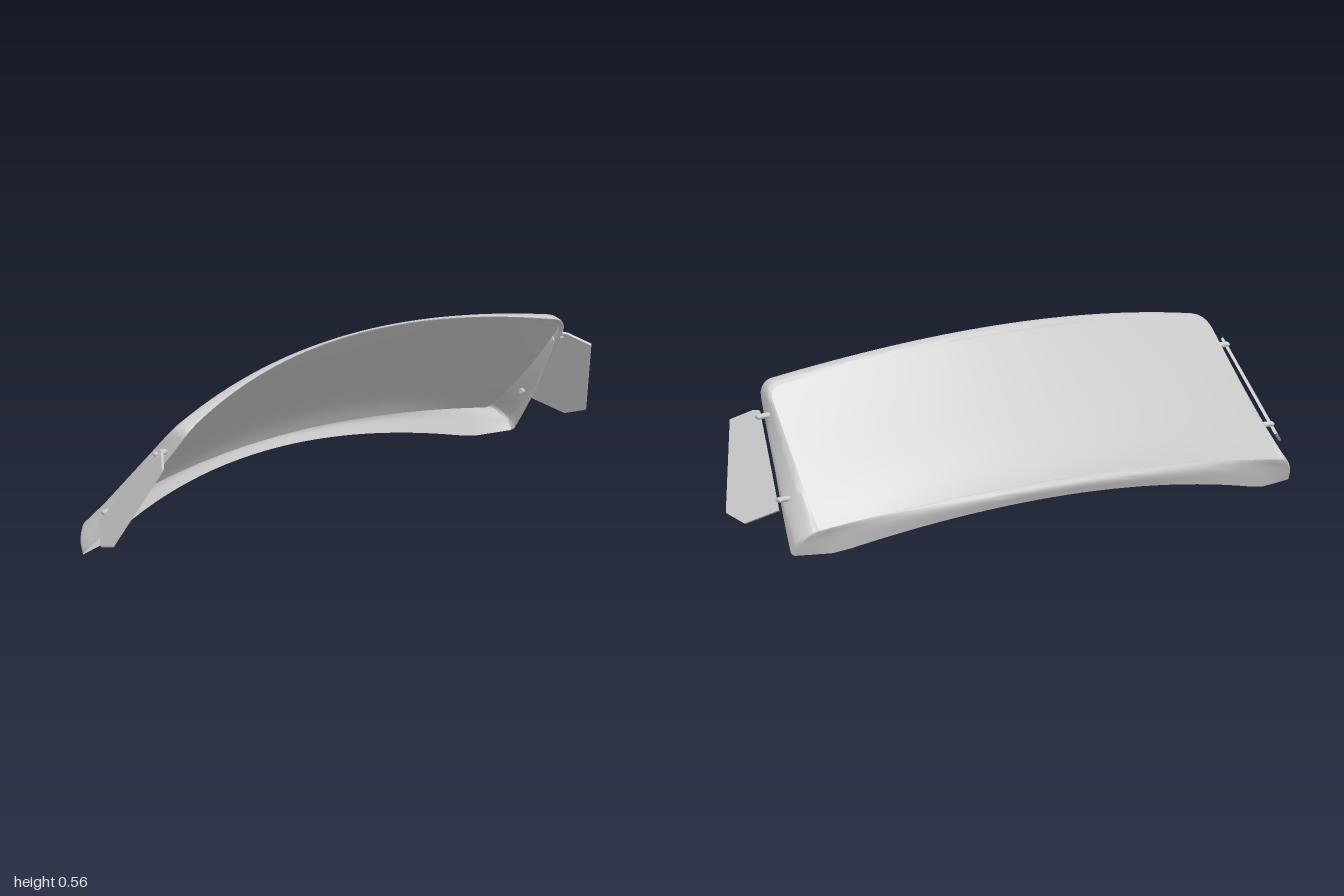
import * as THREE from 'three';
import { toCreasedNormals } from 'three/addons/utils/BufferGeometryUtils.js';

const material = new THREE.MeshStandardMaterial({ color: 0xcccccc, side: THREE.DoubleSide });

// Each ring has a bottom and a top bow: centre [x, y] and end [x, y, z].
// The sag pushes the middle of the ring's sides by [x, y].
const GLASS_EDGE = { bottom: [[-0.225, 0.148], [-0.145, 0.08, 0.84]], top: [[0.1, 0.537], [0.195, 0.452, 0.8]], sag: [0, 0] };
const INNER_EDGE = { bottom: [[-0.222, 0.144], [-0.142, 0.076, 0.84]], top: [[0.127, 0.547], [0.243, 0.45, 0.787]], sag: [0.012, -0.01] };
const FRAME_RINGS = [
  GLASS_EDGE,
  { bottom: [[-0.234, 0.152], [-0.148, 0.078, 0.855]], top: [[0.107, 0.549], [0.214, 0.463, 0.802]], sag: [0.006, -0.004] }, // crest
  { bottom: [[-0.255, 0.135], [-0.118, 0.037, 0.9]], top: [[0.135, 0.556], [0.26, 0.458, 0.793]], sag: [0.016, -0.015] },   // outer edge
  { bottom: [[-0.242, 0.1], [-0.098, 0.0, 0.908], 1.4], top: [[0.127, 0.546], [0.243, 0.449, 0.787]], sag: [0.01, -0.01] }  // return lip
];

function bow([c, e, speed = 1], u) {
  const x = c[0] + (e[0] - c[0]) * u * u;
  const y = c[1] + (e[1] - c[1]) * Math.min(1, speed * u * u);
  return new THREE.Vector3(x, y, e[2] * u);
}

function ringPoint(ring, u, v) {
  const sag = 4 * v * (1 - v) * u ** 8;
  const p = bow(ring.bottom, u).lerp(bow(ring.top, u), v);
  return p.add(new THREE.Vector3(ring.sag[0] * sag, ring.sag[1] * sag, 0));
}

// Rounded rectangle in (u, v), counter-clockwise, u from -1 to 1 and v from 0 to 1
function roundedLoop() {
  const pts = [];
  const corners = [[1, 0, 0.015, 0.025], [1, 1, 0.045, 0.08], [-1, 1, 0.045, 0.08], [-1, 0, 0.015, 0.025]];
  const edgeSteps = [16, 32, 16, 32];
  corners.forEach(([u, v, ru, rv], k) => {
    const cu = u - Math.sign(u) * ru, cv = v === 0 ? rv : 1 - rv;
    for (let i = 0; i <= 5; i++) {
      const a = (k - 1 + i / 5) * Math.PI / 2;
      pts.push([cu + ru * Math.cos(a), cv + rv * Math.sin(a)]);
    }
    // straight run to the next corner
    const [nu, nv, nru, nrv] = corners[(k + 1) % 4];
    const a = k * Math.PI / 2;
    const end = [nu - Math.sign(nu) * nru + nru * Math.cos(a), (nv === 0 ? nrv : 1 - nrv) + nrv * Math.sin(a)];
    const start = pts[pts.length - 1];
    for (let i = 1; i < edgeSteps[k]; i++) {
      const t = i / edgeSteps[k];
      pts.push([start[0] + (end[0] - start[0]) * t, start[1] + (end[1] - start[1]) * t]);
    }
  });
  return pts;
}

// Joins closed loops of points, listed from the inside out
function skin(loops) {
  const n = loops[0].length, index = [];
  for (let r = 0; r < loops.length - 1; r++) {
    for (let i = 0; i < n; i++) {
      const a = r * n + i, b = r * n + (i + 1) % n;
      index.push(a, a + n, b + n, a, b + n, b);
    }
  }
  const geo = new THREE.BufferGeometry().setFromPoints(loops.flat());
  geo.setIndex(index);
  geo.computeVertexNormals();
  return geo;
}

// Curved sheet: shrinking copies of its edge loop, bulged most near the bottom
function sheet(ring, loop) {
  const loops = [];
  for (let k = 0; k <= 14; k++) {
    const s = k / 14;
    loops.push(loop.map(([lu, lv]) => {
      const u = lu * s, v = 0.5 + (lv - 0.5) * s;
      const bulge = 0.13 * v * (1 - v) ** 3 * (1 - u ** 4);
      return ringPoint(ring, u, v).add(new THREE.Vector3(-0.77, 0.63, 0).multiplyScalar(bulge));
    }));
  }
  return skin(loops);
}

function addMesh(parent, name, geo) {
  const mesh = new THREE.Mesh(geo, material);
  mesh.name = name;
  parent.add(mesh);
  return mesh;
}

// Plane of the side pane: z for a given x and y
const paneZ = (x, y) => 0.992 + 0.498 * x - 0.613 * y;

// Flat pane laid on its plane, its thickness along the plane's normal
function sidePane() {
  const outline = [[-0.022, 0.126], [0.06, 0.078], [0.13, 0.1], [0.253, 0.355], [0.2, 0.388], [0.18, 0.391]];
  const shape = new THREE.Shape(outline.map(([x, y]) => new THREE.Vector2(x, y)));
  const geo = new THREE.ExtrudeGeometry(shape, { depth: 0.008, bevelEnabled: false });
  const p = geo.attributes.position;
  for (let i = 0; i < p.count; i++) {
    const x = p.getX(i), y = p.getY(i), d = p.getZ(i) - 0.004;
    p.setXYZ(i, x - 0.39 * d, y + 0.48 * d, paneZ(x, y) + 0.79 * d);
  }
  geo.computeVertexNormals();
  return geo;
}

// Pane, two pins and their caps for one side
function sideWindow(name) {
  const group = new THREE.Group();
  group.name = name;
  addMesh(group, 'sidePane', sidePane());
  for (const [x, y] of [[-0.009, 0.156], [0.172, 0.374]]) {
    const z = paneZ(x, y);
    const pin = addMesh(group, 'hingePin', new THREE.CylinderGeometry(0.009, 0.009, 0.042, 12));
    pin.rotation.x = Math.PI / 2;
    pin.position.set(x, y, z - 0.018);
    const cap = addMesh(group, 'hingeCap', new THREE.SphereGeometry(0.015, 14, 10));
    cap.scale.set(1, 0.55, 0.6);
    cap.position.set(x, y, z + 0.003);
  }
  return group;
}

export function createModel() {
  const model = new THREE.Group();
  model.name = 'windscreen';
  const loop = roundedLoop();

  // Outer and inner faces of the glass; the inner one reaches under the frame
  addMesh(model, 'glass', sheet(GLASS_EDGE, loop));
  addMesh(model, 'glassInnerFace', sheet(INNER_EDGE, loop));

  // Frame: a smooth section through the four rings at every point of the edge
  const steps = 12;
  const sections = loop.map(([u, v]) =>
    new THREE.CatmullRomCurve3(FRAME_RINGS.map((ring) => ringPoint(ring, u, v))).getPoints(steps));
  const frameLoops = [];
  for (let k = 0; k <= steps; k++) frameLoops.push(sections.map((section) => section[k]));
  addMesh(model, 'frame', toCreasedNormals(skin(frameLoops), 0.8));

  // Side windows, mirrored across z
  model.add(sideWindow('sideWindow'));
  const mirrored = sideWindow('sideWindowMirrored');
  mirrored.scale.z = -1;
  model.add(mirrored);

  return model;
}
